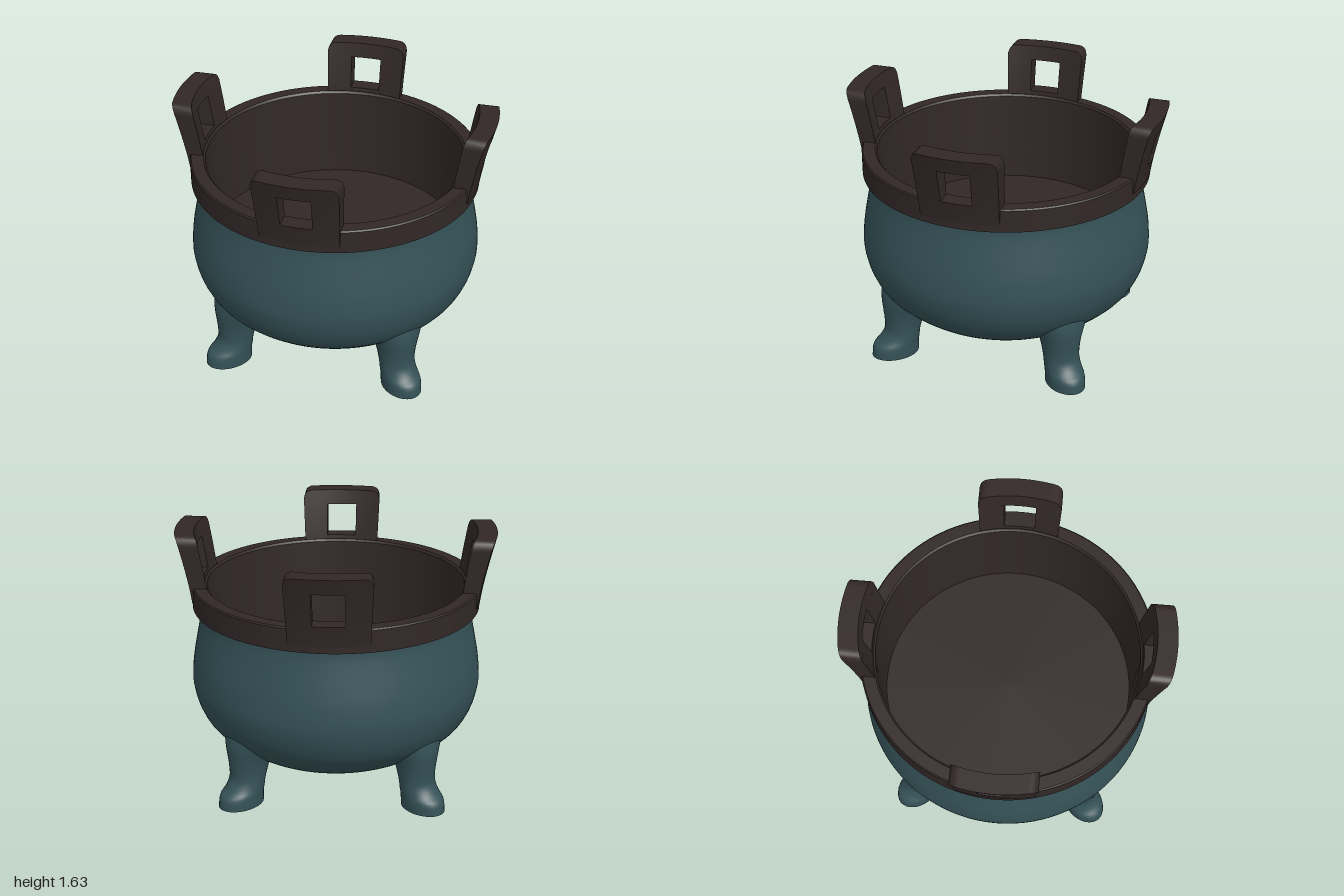
import * as THREE from 'three';
import { mergeGeometries, toCreasedNormals } from 'three/addons/utils/BufferGeometryUtils.js';

const patina = new THREE.MeshStandardMaterial({ name: 'teal patina', color: 0x345156 });
const bronze = new THREE.MeshStandardMaterial({ name: 'dark brown', color: 0x322727 });

const V = (p) => new THREE.Vector2(p[0], p[1]);

function mesh(name, geometry, material, crease) {
  const m = new THREE.Mesh(toCreasedNormals(geometry, crease), material);
  m.name = name;
  return m;
}

// Move every vertex of a geometry by a rule
function reshape(geometry, rule) {
  const pos = geometry.attributes.position;
  const v = new THREE.Vector3();
  for (let i = 0; i < pos.count; i++) {
    rule(v.fromBufferAttribute(pos, i));
    pos.setXYZ(i, v.x, v.y, v.z);
  }
  return geometry;
}

// Round belly, smooth from the underside to the neck
function bellyGeometry() {
  const profile = new THREE.SplineCurve([
    [0, 0.145], [0.2, 0.146], [0.39, 0.163], [0.55, 0.21], [0.68, 0.28], [0.82, 0.4],
    [0.885, 0.51], [0.915, 0.62], [0.92, 0.7], [0.91, 0.81], [0.89, 0.92],
    [0.868, 1.03], [0.855, 1.11], [0.853, 1.18],
  ].map(V));
  return new THREE.LatheGeometry(profile.getPoints(52), 96);
}

// Rim band, inner wall and inner floor
function rimGeometry() {
  return new THREE.LatheGeometry([
    [0.845, 1.157], [0.905, 1.157], [0.905, 1.295], [0.897, 1.303],
    [0.822, 1.303], [0.81, 1.29], [0.79, 0.7], [0, 0.7],
  ].map(V), 96);
}

// Leg: elliptical sections lofted upwards from the toe to the belly
function legGeometry() {
  // height, distance from the centre, radial half size, sideways half size
  const keys = [
    [0, 0.805, 0.155, 0.115], [0.07, 0.798, 0.15, 0.115], [0.115, 0.77, 0.128, 0.113],
    [0.17, 0.75, 0.115, 0.112], [0.24, 0.738, 0.125, 0.118], [0.31, 0.729, 0.14, 0.132],
    [0.4, 0.716, 0.156, 0.165], [0.52, 0.68, 0.17, 0.23],
  ];
  const path = new THREE.SplineCurve(keys.map((k) => V([k[0], k[1]])));
  const size = new THREE.SplineCurve(keys.map((k) => V([k[2], k[3]])));
  const geo = new THREE.CylinderGeometry(1, 1, 1, 32, 28);
  return reshape(geo, (v) => {
    const t = v.y + 0.5;
    const p = path.getPoint(t);
    const s = size.getPoint(t);
    v.set(v.x * s.y, p.x, p.y + v.z * s.x);
  });
}

// Handle: a square frame bent round the rim and flaring outwards
function handleGeometry() {
  const bar = (x0, x1, y0, y1, nx, ny) =>
    new THREE.BoxGeometry(x1 - x0, y1 - y0, 1, nx, ny, 1).translate((x0 + x1) / 2, (y0 + y1) / 2, 0);
  const frame = mergeGeometries([
    bar(-0.24, 0.24, 1.2, 1.33, 24, 3),
    bar(-0.24, 0.24, 1.54, 1.635, 48, 3),
    bar(-0.24, -0.093, 1.33, 1.54, 6, 6),
    bar(0.093, 0.24, 1.33, 1.54, 6, 6),
  ]);
  const round = 0.05;
  return reshape(frame, (v) => {
    // rounded upper corners
    const d = Math.abs(v.x) - (0.24 - round);
    if (v.y > 1.54 && d > 0) {
      const drop = round - Math.sqrt(Math.max(0, round * round - d * d));
      v.y -= drop * (v.y - 1.54) / 0.095;
    }
    const t = (v.y - 1.155) / 0.48;
    const flare = Math.pow(t, 1.3);
    const r = v.z > 0 ? 0.905 + 0.095 * flare : 0.81 + 0.07 * flare;
    v.x *= 1 + 0.08 * t;
    v.z = Math.sqrt(r * r - v.x * v.x);
  });
}

export function createModel() {
  const model = new THREE.Group();
  model.name = 'cauldron';
  model.add(mesh('belly', bellyGeometry(), patina, 1.0));
  model.add(mesh('rimAndInterior', rimGeometry(), bronze, 0.5));

  // Four handles on the axes, four legs on the diagonals
  const handle = mesh('handle', handleGeometry(), bronze, 0.6);
  const leg = mesh('leg', legGeometry(), patina, 0.9);
  for (let i = 0; i < 4; i++) {
    const h = handle.clone();
    h.name = 'handle' + (i + 1);
    h.rotation.y = i * Math.PI / 2;
    const l = leg.clone();
    l.name = 'leg' + (i + 1);
    l.rotation.y = (i + 0.5) * Math.PI / 2;
    model.add(h, l);
  }
  return model;
}
